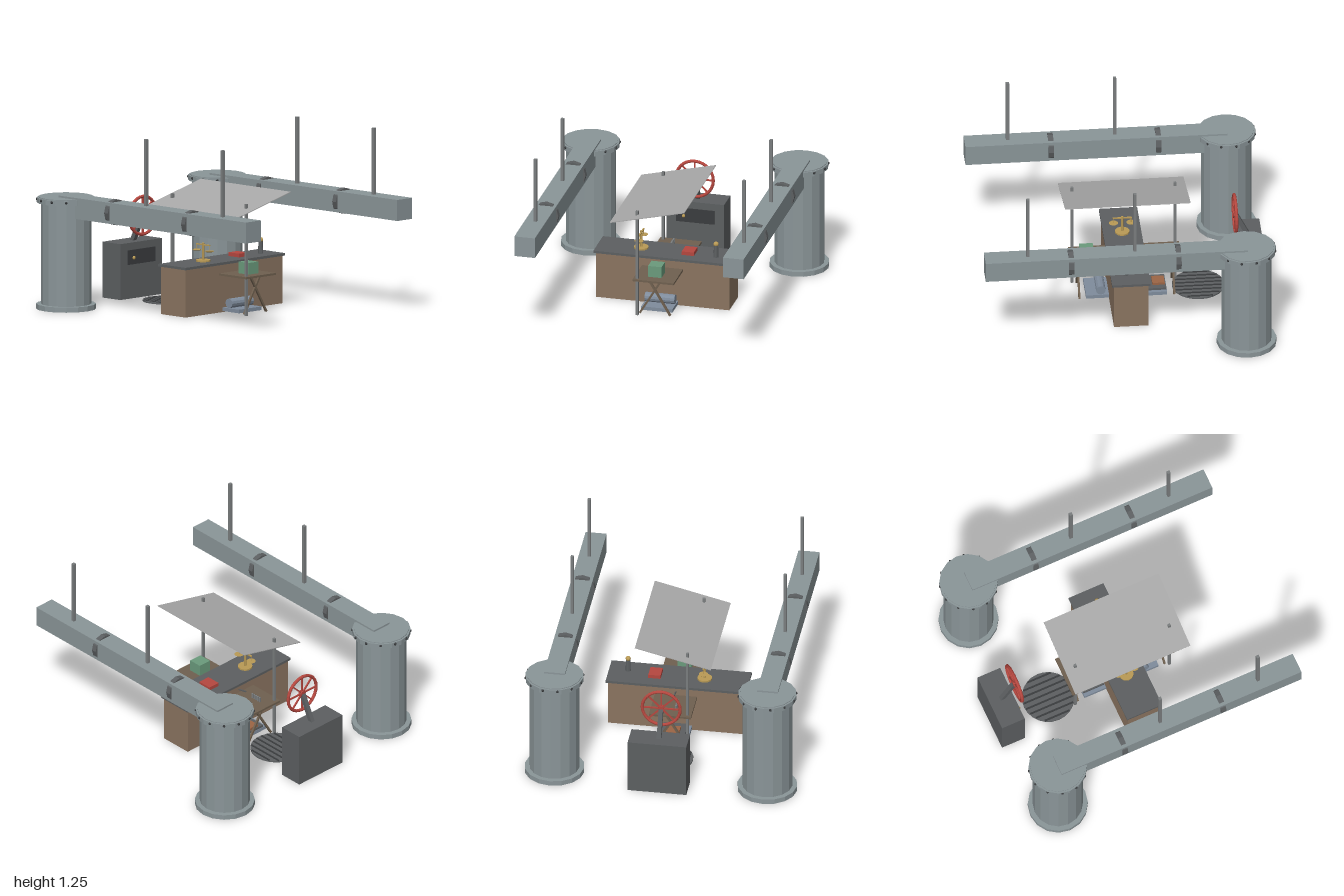
import * as THREE from 'three';

const mat = (color) => new THREE.MeshStandardMaterial({ color, flatShading: true, side: THREE.DoubleSide });
const M = {
  steel: mat(0x8a9598), dark: mat(0x5c5f61), iron: mat(0x7a7d7e), black: mat(0x3a3c3e), red: mat(0xb5473f),
  wood: mat(0x8a7460), tableWood: mat(0x6f604f), brass: mat(0xb99a55), green: mat(0x6a9a7c),
  cloth: mat(0xa8a8a8), blanket: mat(0x7f8c9c), leather: mat(0x9c6545),
};

export function createModel() {
  const model = new THREE.Group();

  const add = (name, geo, m, x = 0, y = 0, z = 0, parent = model) => {
    const mesh = new THREE.Mesh(geo, m);
    mesh.name = name;
    mesh.position.set(x, y, z);
    parent.add(mesh);
    return mesh;
  };
  const group = (name, x = 0, y = 0, z = 0) => {
    const g = new THREE.Group();
    g.name = name;
    g.position.set(x, y, z);
    model.add(g);
    return g;
  };
  const box = (w, h, d) => new THREE.BoxGeometry(w, h, d);
  const cyl = (r, h, n = 16, r2 = r) => new THREE.CylinderGeometry(r, r2, h, n);
  // square bar between two points
  const bar = (name, a, b, w, m, parent) => {
    const p = new THREE.Vector3(...a), q = new THREE.Vector3(...b);
    const mid = p.clone().add(q).multiplyScalar(0.5);
    const mesh = add(name, box(w, p.distanceTo(q), w), m, mid.x, mid.y, mid.z, parent);
    mesh.quaternion.setFromUnitVectors(new THREE.Vector3(0, 1, 0), q.sub(p).normalize());
    return mesh;
  };

  // two towers, each carrying a long beam
  for (const s of [1, -1]) {
    const tower = group('tower', -0.795, 0, s * 0.735);
    add('towerFoot', cyl(0.205, 0.035), M.steel, 0, 0.0175, 0, tower);
    add('towerBody', cyl(0.172, 0.74), M.steel, 0, 0.39, 0, tower);
    add('towerRim', cyl(0.2, 0.035), M.steel, 0, 0.75, 0, tower);
    add('towerLid', cyl(0.188, 0.008), M.steel, 0, 0.769, 0, tower);
    for (let i = 0; i < 12; i++) {
      const a = ((i + 0.5) / 12) * Math.PI * 2;
      add('rimBolt', new THREE.SphereGeometry(0.01, 6, 5), M.black, Math.cos(a) * 0.197, 0.755, Math.sin(a) * 0.197, tower);
    }

    const beam = group('beam', 0, 0, s * 0.735);
    add('beamBox', box(1.795, 0.145, 0.145), M.steel, 0.1, 0.713, 0, beam);
    for (const x of [-0.325, 0.41])
      add('beamBand', cyl(0.09, 0.036, 12), M.dark, x, 0.713, 0, beam).rotation.z = Math.PI / 2;
    for (const x of [-0.03, 0.703]) add('hangerRod', box(0.022, 0.46, 0.022), M.iron, x, 1.015, 0, beam);
  }

  // tilted canopy on two poles
  const canopy = add('canopy', box(0.86, 0.005, 0.54), M.cloth, -0.03, 0.76, 0.028);
  canopy.rotation.x = Math.atan2(0.127, 0.523);
  for (const x of [-0.385, 0.32]) add('canopyPole', box(0.018, 0.77, 0.018), M.iron, x, 0.385, 0.118);

  // central counter
  add('counterBody', box(0.235, 0.33, 0.94), M.wood, -0.03, 0.165, 0);
  add('counterTop', box(0.262, 0.017, 0.968), M.dark, -0.03, 0.337, 0);

  // balance scale on the counter
  const scale = group('scale', -0.03, 0.345, 0.18);
  add('scaleBase', cyl(0.05, 0.012), M.brass, 0, 0.006, 0, scale);
  add('scalePost', cyl(0.008, 0.125, 8), M.brass, 0, 0.065, 0, scale);
  add('scaleBeam', box(0.13, 0.008, 0.01), M.brass, 0, 0.115, 0, scale);
  for (const s of [1, -1]) {
    add('scaleCord', cyl(0.002, 0.04, 4), M.brass, s * 0.06, 0.094, 0, scale);
    add('scalePan', cyl(0.032, 0.006, 12, 0.024), M.brass, s * 0.06, 0.074, 0, scale);
  }

  // red box and ball-topped post
  add('redBox', box(0.1, 0.026, 0.085), M.red, -0.03, 0.358, -0.16);
  add('ballPost', cyl(0.015, 0.085, 10, 0.018), M.dark, -0.005, 0.388, -0.353);
  add('ball', new THREE.SphereGeometry(0.018, 12, 8), M.brass, -0.005, 0.44, -0.353);

  // trestle table passing through the counter
  add('tableTop', box(0.76, 0.014, 0.29), M.tableWood, -0.035, 0.263, 0);
  for (const x of [-0.36, 0.29])
    for (const s of [1, -1])
      bar('tableLeg', [x, 0.005, s * 0.107], [x, 0.258, -s * 0.045], 0.014, M.tableWood, model);
  add('greenBox', box(0.095, 0.08, 0.095), M.green, 0.232, 0.312, 0.005);
  for (let i = 0; i < 5; i++) add('smallJar', cyl(0.007, 0.035, 8), M.iron, -0.333 + i * 0.018, 0.288, 0.03);
  bar('ladle', [-0.23, 0.318, 0], [-0.16, 0.303, 0], 0.008, M.dark, model);

  // mat on the floor with a bedroll and a satchel
  add('floorMat', box(0.555, 0.025, 0.22), M.blanket, -0.033, 0.02, 0);
  add('bedroll', cyl(0.033, 0.21, 12), M.blanket, 0.143, 0.065, 0).rotation.x = Math.PI / 2;
  add('foldedBlanket', box(0.155, 0.016, 0.17), M.dark, -0.23, 0.04, 0);
  add('satchel', box(0.085, 0.017, 0.09), M.leather, -0.258, 0.056, 0);

  // round floor grate with bars
  const grate = group('grate', -0.533, 0, 0);
  add('grateDisc', cyl(0.18, 0.01, 24), M.dark, 0, 0.006, 0, grate);
  for (let i = -4; i <= 3; i++) {
    const z = i * 0.043 + 0.02;
    add('grateBar', box(2 * Math.sqrt(0.175 ** 2 - z * z), 0.006, 0.012), M.black, 0, 0.012, z, grate);
  }

  // control cabinet
  add('controlCabinet', box(0.17, 0.385, 0.405), M.dark, -0.885, 0.1925, 0);
  add('cabinetPanel', box(0.008, 0.1, 0.27), M.black, -0.798, 0.285, 0);
  add('panelKnob', new THREE.SphereGeometry(0.012, 8, 6), M.brass, -0.79, 0.28, 0.08);
  bar('wheelPost', [-0.885, 0.37, 0], [-0.79, 0.56, 0], 0.03, M.dark, model);

  // spoked hand wheel facing the counter
  const wheel = group('handWheel', -0.785, 0.565, 0);
  add('wheelRim', new THREE.TorusGeometry(0.131, 0.011, 8, 28), M.red, 0, 0, 0, wheel).rotation.y = Math.PI / 2;
  add('wheelHub', cyl(0.022, 0.026, 12), M.red, 0, 0, 0, wheel).rotation.z = Math.PI / 2;
  for (let i = 0; i < 4; i++)
    add('wheelSpoke', box(0.01, 0.26, 0.01), M.red, 0, 0, 0, wheel).rotation.x = (i * Math.PI) / 4;

  return model;
}
